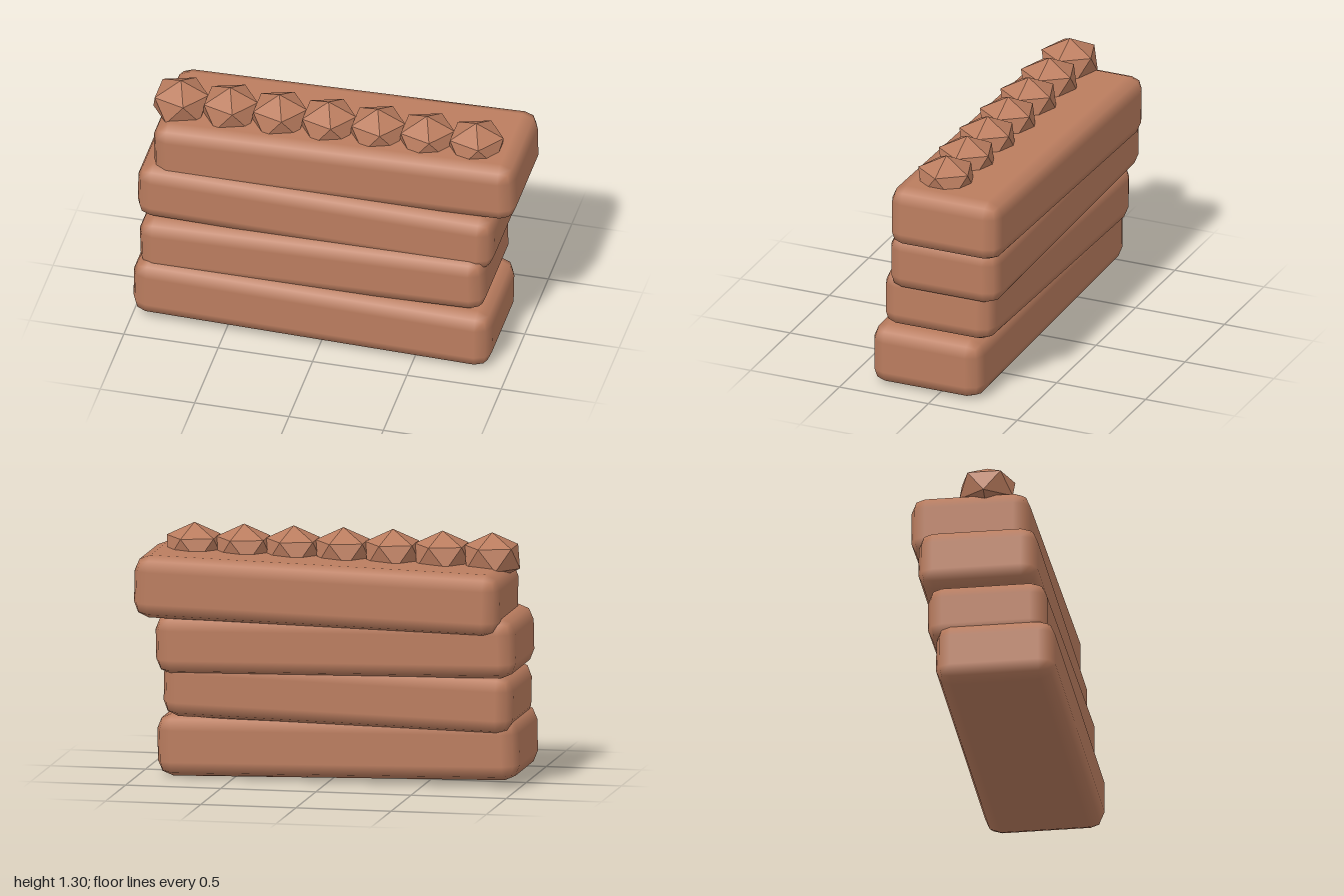
import * as THREE from 'three';
import { RoundedBoxGeometry } from 'three/addons/geometries/RoundedBoxGeometry.js';
import { ConvexGeometry } from 'three/addons/geometries/ConvexGeometry.js';

// Squashed icosahedron standing on a point, one upper-ring corner facing +x
function studGeometry(ringRadius, halfHeight) {
  const points = [new THREE.Vector3(0, halfHeight, 0), new THREE.Vector3(0, -halfHeight, 0)];
  for (let i = 0; i < 10; i++) {
    const a = (i * Math.PI) / 5;
    const y = (i % 2 ? -1 : 1) * halfHeight * 0.447;
    points.push(new THREE.Vector3(Math.cos(a) * ringRadius, y, Math.sin(a) * ringRadius));
  }
  return new ConvexGeometry(points);
}

export function createModel() {
  const model = new THREE.Group();
  model.name = 'stackedWall';
  const clay = new THREE.MeshStandardMaterial({ color: 0xbb7d5f });
  clay.name = 'clay brown';
  const clayFaceted = clay;

  // Four long rounded slabs, each stepped back and tilted alternately
  const slabs = [
    { length: 1.9, height: 0.325, x: -0.047, y: 0.184, z: 0.07, tilt: -0.021 },
    { length: 1.835, height: 0.31, x: -0.057, y: 0.459, z: 0.024, tilt: 0.022 },
    { length: 1.89, height: 0.314, x: -0.052, y: 0.724, z: -0.021, tilt: -0.021 },
    { length: 1.92, height: 0.325, x: 0.036, y: 0.99, z: -0.07, tilt: 0.023 },
  ];
  slabs.forEach((s, i) => {
    const slab = new THREE.Mesh(new RoundedBoxGeometry(s.length, s.height, 0.62, 1, 0.08), clay);
    slab.name = `slab${i + 1}`;
    slab.position.set(s.x, s.y, s.z);
    slab.rotation.z = s.tilt;
    model.add(slab);
  });

  // Row of faceted stones sunk into the top slab
  const stone = studGeometry(0.146, 0.127);
  for (let i = 0; i < 7; i++) {
    const mesh = new THREE.Mesh(stone, clayFaceted);
    mesh.name = `topStone${i + 1}`;
    mesh.position.set(-0.819 + i * 0.2607, 1.173, 0.011);
    model.add(mesh);
  }
  return model;
}
